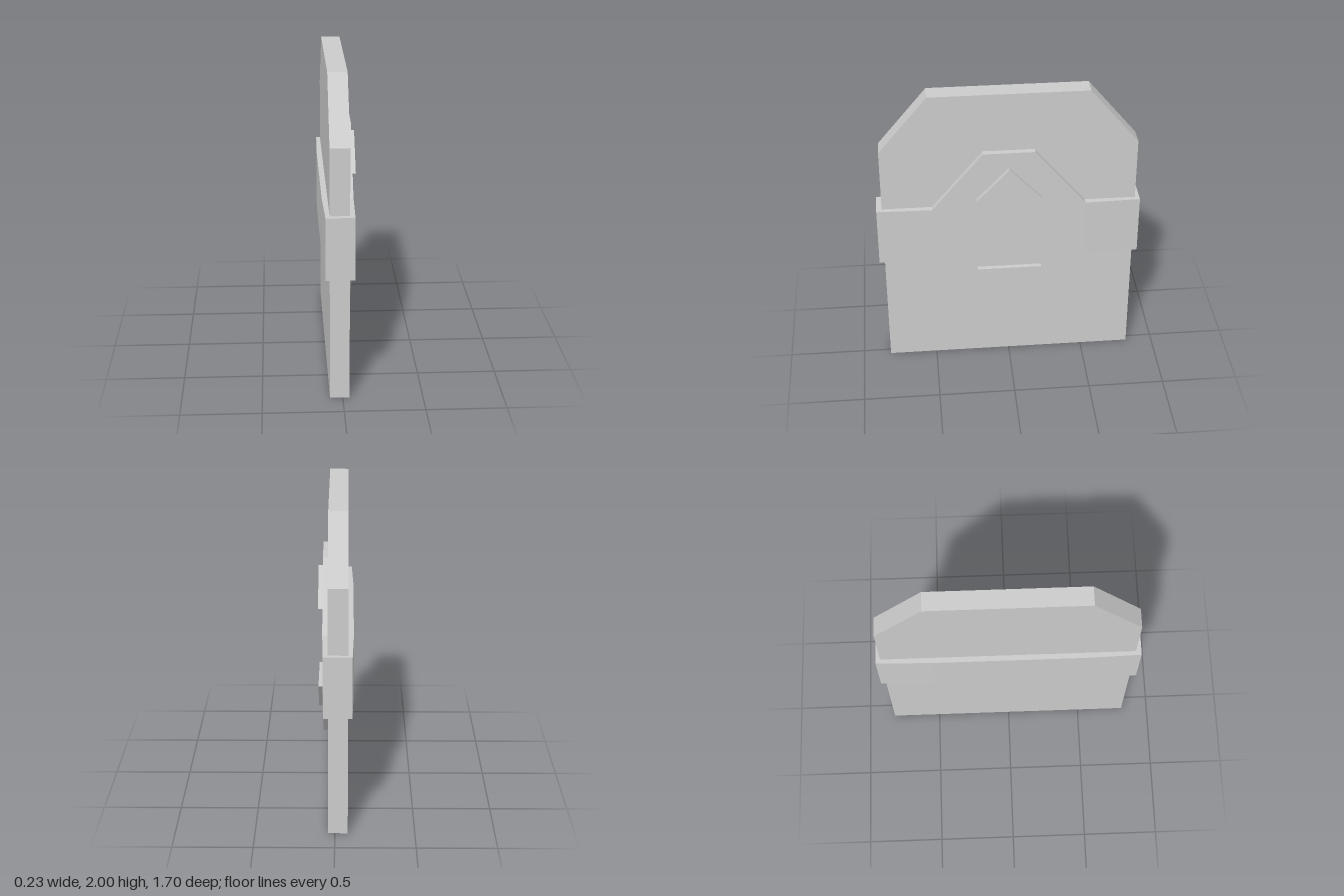
import * as THREE from 'three';

const material = new THREE.MeshStandardMaterial({ color: 0xcccccc, flatShading: true });

function extrude(points, depth) {
  const shape = new THREE.Shape(points.map(([a, b]) => new THREE.Vector2(a, b)));
  return new THREE.ExtrudeGeometry(shape, { depth, bevelEnabled: false });
}

// Outline in the side plane as [z, y], thickened from x0 to x1
function slab(name, outline, x0, x1) {
  const geometry = extrude(outline.map(([z, y]) => [-z, y]), x1 - x0);
  geometry.rotateY(Math.PI / 2).translate(x0, 0, 0);
  const mesh = new THREE.Mesh(geometry, material);
  mesh.name = name;
  return mesh;
}

export function createModel() {
  const group = new THREE.Group();
  group.name = 'panel';

  // Door slab with its two upper corners cut off
  const slabMesh = slab('doorSlab', [
    [0.82, 0], [0.82, 1.62], [0.507, 2], [-0.507, 2], [-0.82, 1.62], [-0.82, 0],
  ], -0.08, 0.042);
  slabMesh.position.z = -0.003;
  group.add(slabMesh);

  // Band wrapped around the slab, thinning slightly towards both ends
  const plan = [
    [0.072, 0.852], [0.081, 0.495], [0.081, -0.495], [0.072, -0.852],
    [-0.106, -0.852], [-0.115, -0.495], [-0.115, 0.495], [-0.106, 0.852],
  ];
  const bandGeometry = extrude(plan.map(([x, z]) => [x, -z]), 0.4);
  bandGeometry.rotateX(-Math.PI / 2).translate(0, 0.8, 0);
  const band = new THREE.Mesh(bandGeometry, material);
  band.name = 'band';
  group.add(band);

  // Plate wings and raised triangles, mirrored above and below the band
  for (const [side, s] of [['upper', 1], ['lower', -1]]) {
    const at = (z, dy) => [z, 1 + s * dy];
    group.add(slab(side + 'Plate', [
      at(0.495, 0.2), at(0.165, 0.6), at(-0.165, 0.6), at(-0.495, 0.2),
    ], 0.03, 0.081));
    group.add(slab(side + 'Triangle', [
      at(0.21, 0.268), at(0, 0.495), at(-0.21, 0.268),
    ], 0.07, 0.112));
  }
  return group;
}
